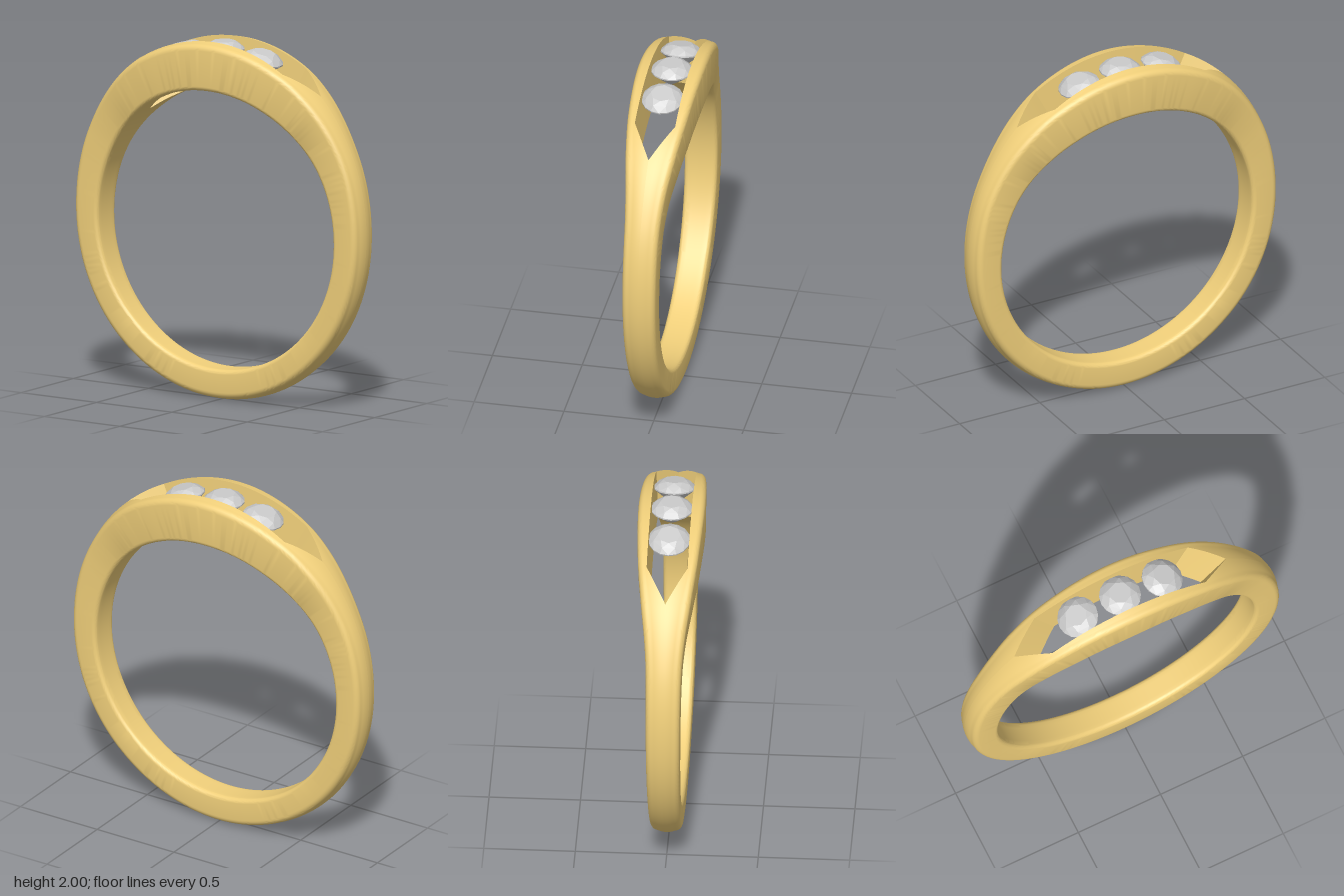
import * as THREE from 'three';
import { toCreasedNormals } from 'three/addons/utils/BufferGeometryUtils.js';
import { ConvexGeometry } from 'three/addons/geometries/ConvexGeometry.js';

const CENTER_Y = 0.95, BORE = 0.78;
const SLOT_BEND = 27, SLOT_TIP = 39; // degrees from the top of the ring

// smooth interpolation through [angle, value] keys, mirrored about 0 and 180 degrees
function profile(keys) {
  const mirrored = [
    ...keys.slice(1, 3).reverse().map(([a, v]) => [-a, v]),
    ...keys,
    ...keys.slice(-3, -1).reverse().map(([a, v]) => [360 - a, v]),
  ];
  const slope = (i) => (mirrored[i + 1][1] - mirrored[i - 1][1]) / (mirrored[i + 1][0] - mirrored[i - 1][0]);
  return (angle) => {
    let i = 2;
    while (i < mirrored.length - 4 && angle > mirrored[i + 1][0]) i++;
    const [a0, v0] = mirrored[i], [a1, v1] = mirrored[i + 1];
    const h = a1 - a0, t = (angle - a0) / h, t2 = t * t, t3 = t2 * t;
    return v0 * (2 * t3 - 3 * t2 + 1) + slope(i) * h * (t3 - 2 * t2 + t)
      + v1 * (3 * t2 - 2 * t3) + slope(i + 1) * h * (t3 - t2);
  };
}

const outerRadius = profile([[0, 1.057], [28, 1.04], [39, 1.022], [60, 0.982], [90, 0.945], [135, 0.944], [180, 0.95]]);
const halfWidth = profile([[0, 0.182], [22, 0.166], [37, 0.139], [50, 0.111], [62, 0.097], [90, 0.092], [180, 0.08]]);
const slotOpening = (angle) => THREE.MathUtils.clamp((SLOT_TIP - angle) / (SLOT_TIP - SLOT_BEND), 0, 1);

// half cross-section as [z, radius], from the slot along the bore, up the side and back over the dome
function section(angle) {
  const w = halfWidth(angle), top = outerRadius(angle), open = slotOpening(angle);
  const low = 0.095 * open, high = 0.112 * open;
  const points = [];
  const bevel = 0.025, round = 0.035, steps = 6;
  for (let i = 0; i < 3; i++) points.push([THREE.MathUtils.lerp(low, w - bevel, i / 3), BORE]);
  for (let i = 0; i <= steps; i++) {
    const t = (i / steps) * Math.PI / 2;
    points.push([w - bevel + bevel * Math.sin(t), BORE + bevel * (1 - Math.cos(t))]);
  }
  const dome = (z) => top - 0.03 * (z / w) ** 2;
  const edge = w - round;
  for (let i = 0; i <= steps; i++) {
    const t = (i / steps) * Math.PI / 2;
    points.push([edge + round * Math.cos(t), dome(edge) - round * (1 - Math.sin(t))]);
  }
  for (let i = 1; i <= 5; i++) {
    const z = THREE.MathUtils.lerp(edge, high, i / 5);
    points.push([z, dome(z)]);
  }
  return points;
}

// one half of the band; side is +1 for the front half, -1 for the back half
function bandHalf(side) {
  const positions = [], indices = [];
  const count = section(0).length, turns = 360;
  for (let d = 0; d < turns; d++) {
    const a = THREE.MathUtils.degToRad(d);
    for (const [z, r] of section(Math.min(d, 360 - d))) {
      positions.push(r * Math.sin(a), CENTER_Y + r * Math.cos(a), side * z);
    }
  }
  for (let d = 0; d < turns; d++) {
    const next = (d + 1) % turns;
    const slotted = d < SLOT_TIP || d >= 360 - SLOT_TIP;
    // the last strip is the slot wall, present only where the band is split
    for (let i = 0; i < (slotted ? count : count - 1); i++) {
      const j = (i + 1) % count;
      const a = d * count + i, b = next * count + i, c = next * count + j, e = d * count + j;
      if (side > 0) indices.push(a, b, c, a, c, e);
      else indices.push(a, c, b, a, e, c);
    }
  }
  const geometry = new THREE.BufferGeometry();
  geometry.setAttribute('position', new THREE.Float32BufferAttribute(positions, 3));
  geometry.setIndex(indices);
  return toCreasedNormals(geometry, THREE.MathUtils.degToRad(25));
}

// faceted round stone with its girdle at y = 0
function stoneGeometry() {
  const points = [new THREE.Vector3(0, -0.095, 0)];
  const ring = (n, r, y, turn) => {
    for (let i = 0; i < n; i++) {
      const a = ((i + turn) / n) * Math.PI * 2;
      points.push(new THREE.Vector3(r * Math.cos(a), y, r * Math.sin(a)));
    }
  };
  ring(8, 0.062, 0.043, 0);      // table
  ring(8, 0.092, 0.026, 0.5);    // crown
  ring(16, 0.115, 0.002, 0);     // girdle
  ring(16, 0.115, -0.006, 0);
  ring(8, 0.06, -0.053, 0.5);    // pavilion
  return new ConvexGeometry(points);
}

export function createModel() {
  const model = new THREE.Group();
  model.name = 'ring';
  const gold = new THREE.MeshStandardMaterial({ color: 0xf0cf7a });
  const grey = new THREE.MeshStandardMaterial({ color: 0xcccccc, flatShading: true });

  // split band
  const band = new THREE.Group();
  band.name = 'band';
  for (const [name, side] of [['frontBandHalf', 1], ['backBandHalf', -1]]) {
    const half = new THREE.Mesh(bandHalf(side), gold);
    half.name = name;
    band.add(half);
  }
  model.add(band);

  // three stones held between the walls of the slot
  const geometry = stoneGeometry();
  ['rightStone', 'centreStone', 'leftStone'].forEach((name, i) => {
    const a = THREE.MathUtils.degToRad((i - 1) * 15);
    const stone = new THREE.Mesh(geometry, grey);
    stone.name = name;
    stone.position.set(0.993 * Math.sin(a), CENTER_Y + 0.993 * Math.cos(a), 0);
    stone.rotation.z = -a;
    model.add(stone);
  });
  return model;
}
